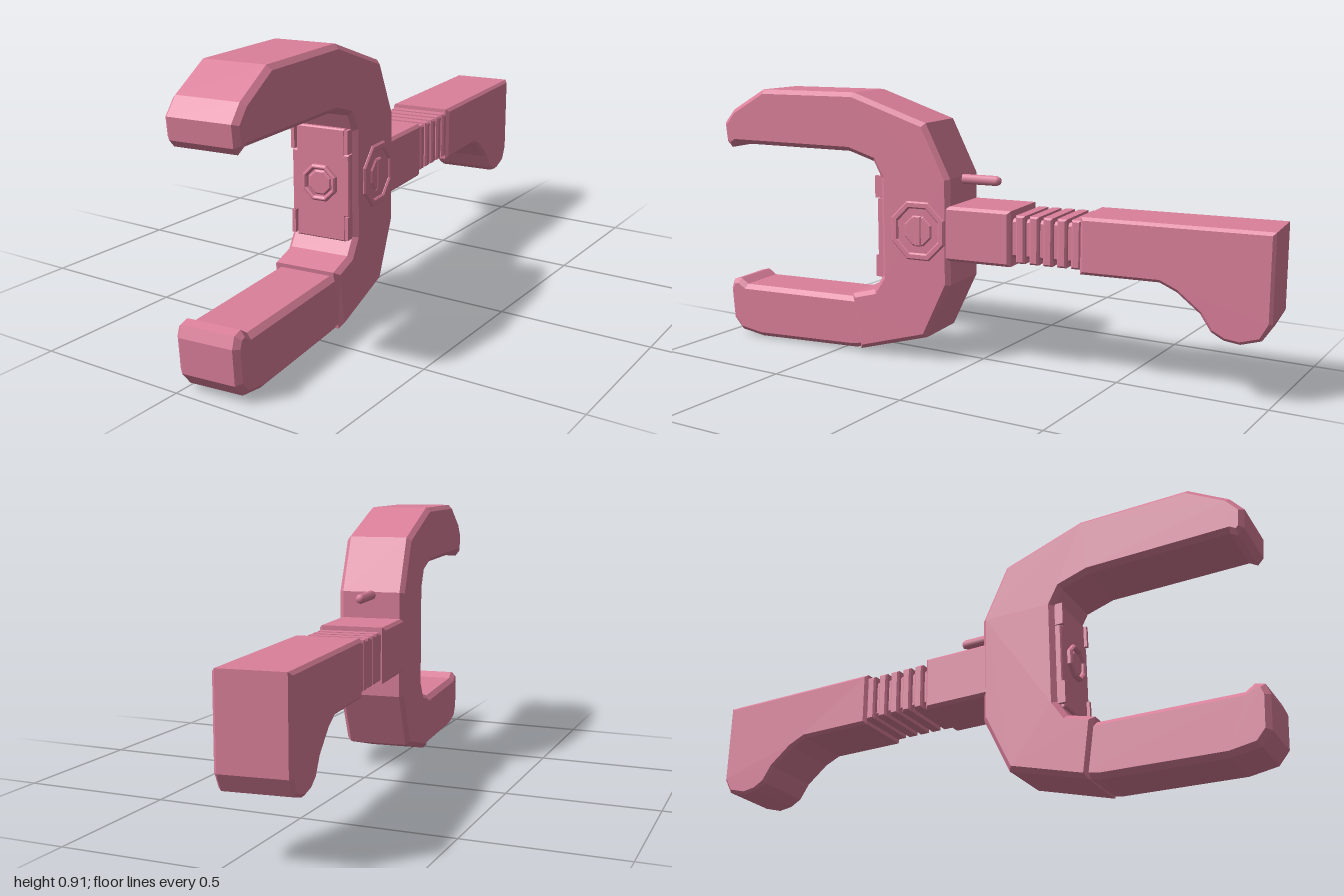
import * as THREE from 'three';

const pink = new THREE.MeshStandardMaterial({ color: 0xdc809b });
pink.name = 'rose pink';
const MID = 0.455; // height of the tool's axis

function add(parent, name, geometry, x = 0, y = 0, z = 0) {
  const mesh = new THREE.Mesh(geometry, pink);
  mesh.name = name;
  mesh.position.set(x, y, z);
  parent.add(mesh);
  return mesh;
}

function makeShape(points) {
  return new THREE.Shape(points.map(([a, b]) => new THREE.Vector2(a, b)));
}

// Chamfered slab, centred in its thickness
function slab(shape, thickness, bevel) {
  const g = new THREE.ExtrudeGeometry(shape, {
    depth: thickness - 2 * bevel, bevelEnabled: bevel > 0,
    bevelThickness: bevel, bevelSize: bevel, bevelOffset: -bevel, bevelSegments: 1,
  });
  return g.translate(0, 0, bevel - thickness / 2);
}

// Side profile of [z, y] points, thickened along x
function profile(points, width, bevel) {
  return slab(makeShape(points), width, bevel).rotateY(-Math.PI / 2);
}

function boxProfile(z0, z1, y0, y1, width, bevel) {
  return profile([[z0, y0], [z1, y0], [z1, y1], [z0, y1]], width, bevel);
}

function octagon(r) {
  return Array.from({ length: 8 }, (_, i) => {
    const a = (i + 0.5) * Math.PI / 4;
    return [r * Math.cos(a), r * Math.sin(a)];
  });
}

function octagonRing(outer, inner, depth) {
  const s = makeShape(octagon(outer));
  s.holes.push(new THREE.Path(octagon(inner).reverse().map(([a, b]) => new THREE.Vector2(a, b))));
  return slab(s, depth, 0.005);
}

export function createModel() {
  const model = new THREE.Group();
  model.name = 'clampTool';
  const tool = new THREE.Group();
  tool.name = 'tool';
  tool.rotation.y = 0.103;
  model.add(tool);

  // Forked head with the upper jaw
  add(tool, 'forkAndUpperJaw', profile([
    [0.165, 0.085], [0.43, 0.012], [0.46, 0.208], [0.37, 0.232], [0.335, 0.285],
    [0.335, 0.625], [0.365, 0.68], [0.46, 0.71], [0.93, 0.715], [0.955, 0.699],
    [0.975, 0.72], [0.982, 0.785], [0.94, 0.835], [0.81, 0.91], [0.44, 0.91],
    [0.165, 0.817], [0.075, 0.635], [0.075, 0.275],
  ], 0.23, 0.015));

  // Lower jaw, slightly slimmer than the fork
  add(tool, 'lowerJaw', profile([
    [0.40, 0.022], [0.46, 0.01], [0.86, 0.002], [0.95, 0.018], [0.985, 0.06],
    [0.993, 0.17], [0.98, 0.205], [0.95, 0.212], [0.92, 0.192], [0.40, 0.195],
  ], 0.205, 0.016));

  // Plate between the jaws with corner clips and an octagonal socket
  add(tool, 'jawPlate', slab(makeShape([
    [-0.085, -0.18], [0.085, -0.18], [0.085, -0.1], [0.1, -0.1], [0.1, 0.1], [0.085, 0.1],
    [0.085, 0.18], [-0.085, 0.18], [-0.085, 0.1], [-0.1, 0.1], [-0.1, -0.1], [-0.085, -0.1],
  ]), 0.04, 0.004), 0, MID - 0.003, 0.335);
  for (const sx of [-1, 1]) for (const sy of [-1, 1]) {
    add(tool, 'plateClip', new THREE.BoxGeometry(0.012, 0.075, 0.045), sx * 0.094, MID + sy * 0.138, 0.34);
  }
  add(tool, 'plateSocketRing', octagonRing(0.062, 0.047, 0.025), 0, MID, 0.358);
  add(tool, 'plateSocketCore', slab(makeShape(octagon(0.042)), 0.02, 0.005), 0, MID, 0.353);

  // Pivot bolt on the left face
  add(tool, 'pivotRing', octagonRing(0.108, 0.082, 0.022).rotateY(Math.PI / 2), 0.111, MID, 0.19);
  add(tool, 'pivotCap', slab(makeShape(octagon(0.058)), 0.02, 0.008).rotateY(Math.PI / 2), 0.11, MID, 0.19);
  add(tool, 'pivotSlot', boxProfile(-0.014, 0.014, -0.052, 0.052, 0.024, 0.004), 0.111, MID, 0.19);

  // Release pin above the shaft
  add(tool, 'releasePin', new THREE.CapsuleGeometry(0.017, 0.14, 2, 8).rotateX(Math.PI / 2), 0, 0.624, 0.022);

  // Shaft block and ribbed neck
  add(tool, 'shaftBlock', boxProfile(-0.145, 0.12, 0.36, 0.545, 0.225, 0.01));
  add(tool, 'neckCore', boxProfile(-0.42, -0.12, 0.388, 0.518, 0.175, 0.01));
  for (let i = 0; i < 5; i++) {
    const z = -0.178 - i * 0.048;
    add(tool, 'neckRib', boxProfile(z - 0.016, z + 0.016, 0.374, 0.532, 0.21, 0.006));
  }

  // Handle with a drooping butt
  add(tool, 'handle', profile([
    [-0.385, 0.36], [-0.385, 0.545], [-0.994, 0.545], [-0.994, 0.265], [-0.965, 0.212],
    [-0.9, 0.193], [-0.85, 0.2], [-0.81, 0.222], [-0.775, 0.275], [-0.70, 0.335], [-0.645, 0.36],
  ].reverse(), 0.222, 0.01));

  return model;
}
